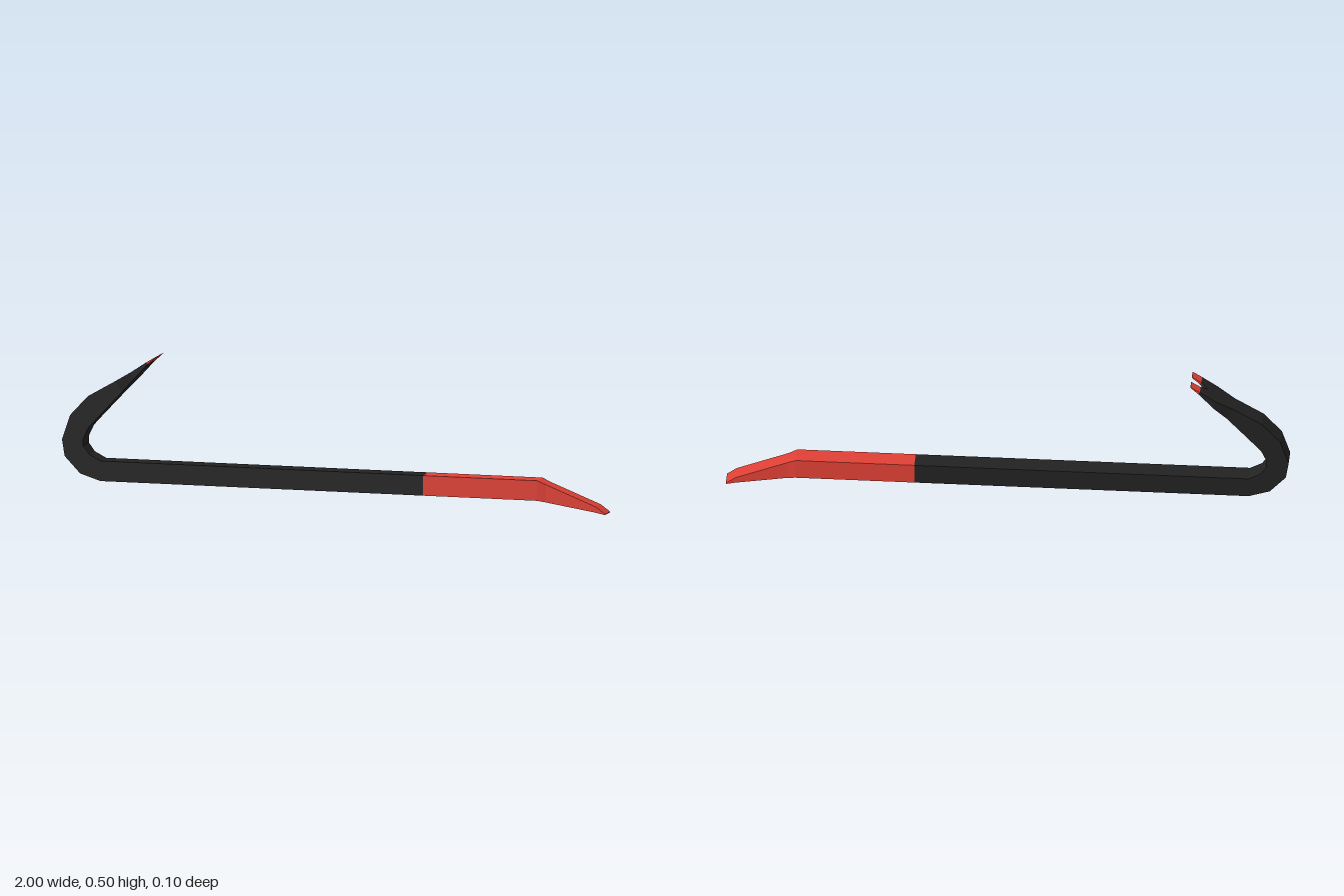
import * as THREE from 'three';

const BLACK = new THREE.MeshStandardMaterial({ color: 0x222222, flatShading: true });
const RED = new THREE.MeshStandardMaterial({ color: 0xe04035, flatShading: true });

const HALF = 0.037;   // half width of the bar
const FLARE = 0.052;  // half width of the claw
const SLOT = 0.015;   // half width of the slot between the prongs

// Lofts rectangular sections [outerX, outerY, innerX, innerY, zMin, zMax] and caps both ends.
function loft(name, sections, material) {
  const rings = sections.map(([ox, oy, ix, iy, z0, z1]) => [
    [ox, oy, z0], [ox, oy, z1], [ix, iy, z1], [ix, iy, z0],
  ]);
  const positions = [];
  const quad = (a, b, c, d) => positions.push(...a, ...b, ...c, ...a, ...c, ...d);
  for (let i = 0; i < rings.length - 1; i++) {
    const a = rings[i], b = rings[i + 1];
    for (let k = 0; k < 4; k++) {
      const n = (k + 1) % 4;
      quad(a[k], a[n], b[n], b[k]);
    }
  }
  const first = rings[0], last = rings[rings.length - 1];
  quad(first[3], first[2], first[1], first[0]);
  quad(last[0], last[1], last[2], last[3]);
  const geometry = new THREE.BufferGeometry();
  geometry.setAttribute('position', new THREE.Float32BufferAttribute(positions, 3));
  geometry.computeVertexNormals();
  const mesh = new THREE.Mesh(geometry, material);
  mesh.name = name;
  return mesh;
}

// Sections symmetric about z = 0: [outerX, outerY, innerX, innerY, halfWidth]
const centred = (list) => list.map(([ox, oy, ix, iy, w]) => [ox, oy, ix, iy, -w, w]);

export function createModel() {
  const group = new THREE.Group();
  group.name = 'pryBar';

  // Red chisel end, from its thin edge back to the paint line
  group.add(loft('chiselEnd', centred([
    [1.0, 0.0, 1.0, 0.003, 0.032],
    [0.965, 0.007, 0.965, 0.028, 0.032],
    [0.78, 0.036, 0.78, 0.1, 0.032],
    [0.751, 0.041, 0.751, 0.113, HALF],
    [0.33, 0.041, 0.33, 0.113, HALF],
  ]), RED));

  // Black shaft, curling into the hook and flaring to the root of the claw
  group.add(loft('shaftAndHook', centred([
    [0.33, 0.041, 0.33, 0.113, HALF],
    [-0.858, 0.041, -0.858, 0.113, HALF],
    [-0.933, 0.065, -0.9, 0.135, HALF],
    [-0.99, 0.125, -0.922, 0.165, HALF],
    [-1.0, 0.185, -0.922, 0.19, HALF],
    [-0.97, 0.273, -0.903, 0.23, HALF],
    [-0.905, 0.343, -0.862, 0.275, HALF],
    [-0.803, 0.402, -0.78, 0.362, HALF],
    [-0.743, 0.438, -0.733, 0.412, FLARE],
    [-0.71, 0.46, -0.702, 0.446, FLARE],
  ]), BLACK));

  // Two claw prongs with red tips, mirrored across z = 0
  const root = [-0.71, 0.46, -0.702, 0.446];
  const paintLine = [-0.686, 0.476, -0.679, 0.47];
  const tip = [-0.653, 0.496, -0.652, 0.495];
  for (const [side, sign] of [['front', 1], ['back', -1]]) {
    const span = (p, inner) => [...p, ...[sign * inner, sign * FLARE].sort((a, b) => a - b)];
    group.add(loft(side + 'Prong', [span(root, 0), span(paintLine, SLOT)], BLACK));
    group.add(loft(side + 'ProngTip', [span(paintLine, SLOT), span(tip, SLOT)], RED));
  }
  return group;
}
